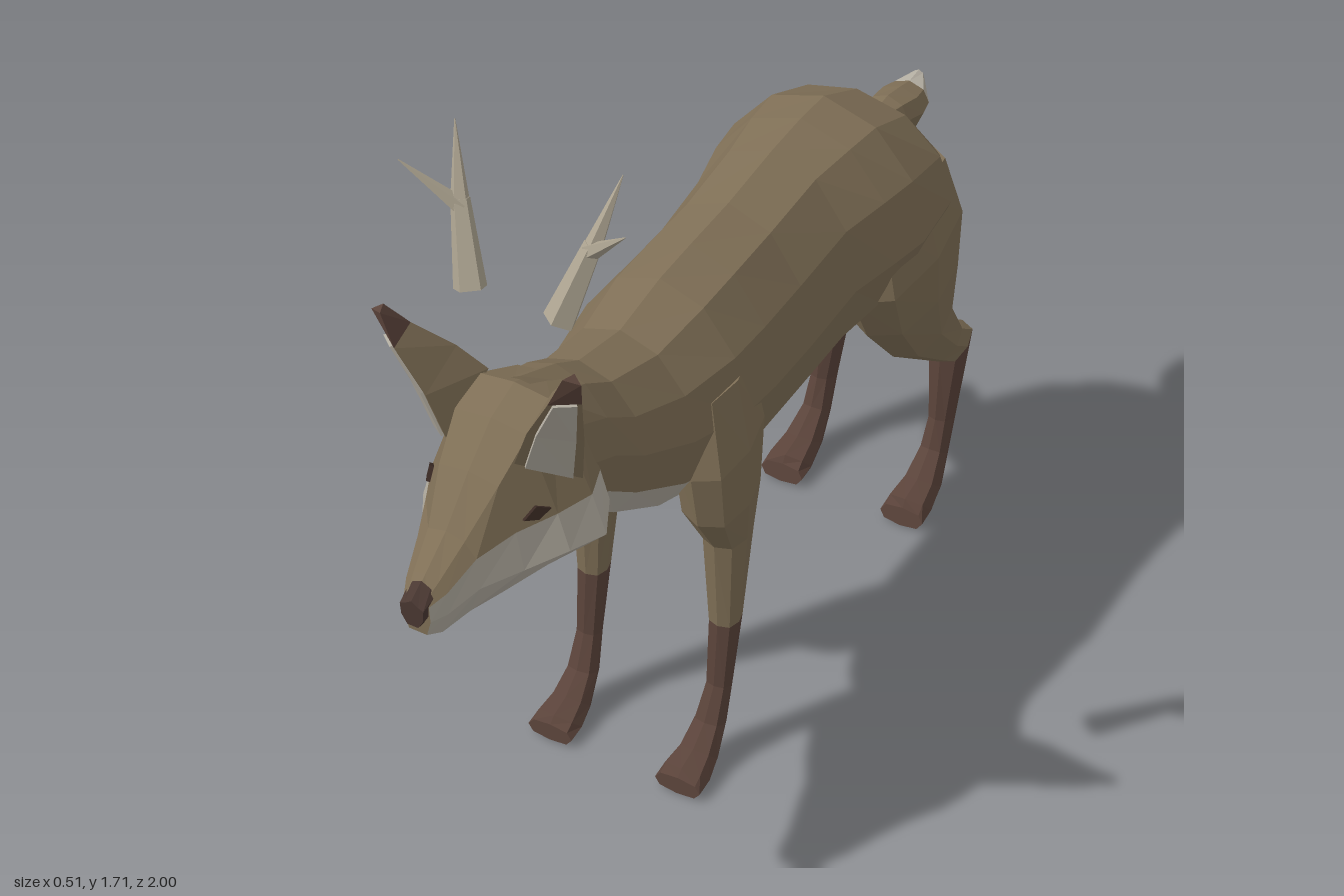
import * as THREE from 'three';

const mat = (name, color) => Object.assign(new THREE.MeshStandardMaterial({ color, flatShading: true }), { name });
const V = (x, y, z) => new THREE.Vector3(x, y, z);

export function createModel() {
  const root = new THREE.Group();
  root.name = 'antleredFox';
  const fur = mat('brownFur', 0x7f6f56);
  const dark = mat('darkBrownFur', 0x5a433a);
  const pale = mat('paleFur', 0xb3ada1);
  const horn = mat('antlerHorn', 0xada491);
  const noseMat = mat('noseBrown', 0x4a3832);
  const eyeMat = mat('eyeDark', 0x3a2a24);

  // Closed skin over rings of points; paint(segment, column) picks the colour, column -1 is an end cap
  function loft(name, rings, paint) {
    const buckets = new Map();
    let volume = 0;
    const tri = (m, a, b, c) => {
      if (!buckets.has(m)) buckets.set(m, []);
      buckets.get(m).push([a, b, c]);
      volume += a.dot(b.clone().cross(c));
    };
    const n = rings[0].length, last = rings.length - 1;
    for (let i = 0; i < last; i++) {
      for (let j = 0; j < n; j++) {
        const k = (j + 1) % n, m = paint(i, j);
        tri(m, rings[i][j], rings[i][k], rings[i + 1][k]);
        tri(m, rings[i][j], rings[i + 1][k], rings[i + 1][j]);
      }
    }
    for (const [ring, seg, flip] of [[rings[0], 0, true], [rings[last], last - 1, false]]) {
      const mid = ring.reduce((s, p) => s.add(p), V(0, 0, 0)).divideScalar(n);
      ring.forEach((p, j) => {
        const q = ring[(j + 1) % n];
        flip ? tri(paint(seg, -1), mid, q, p) : tri(paint(seg, -1), mid, p, q);
      });
    }
    // Turn the faces outward whichever way the rings wind
    const geo = new THREE.BufferGeometry(), pos = [], mats = [];
    for (const [m, tris] of buckets) {
      geo.addGroup(pos.length / 3, tris.length * 3, mats.length);
      mats.push(m);
      for (const [a, b, c] of tris) for (const p of volume > 0 ? [a, b, c] : [a, c, b]) pos.push(p.x, p.y, p.z);
    }
    geo.setAttribute('position', new THREE.Float32BufferAttribute(pos, 3));
    geo.computeVertexNormals();
    const mesh = new THREE.Mesh(geo, mats);
    mesh.name = name;
    root.add(mesh);
  }

  // Egg-shaped ring across z: top, bottom, half width and height of the widest point
  const trunkRing = n => ([z, top, bot, w, mid]) => Array.from({ length: n }, (_, j) => {
    const a = j / n * Math.PI * 2, c = Math.cos(a);
    return V(w * Math.sin(a), mid + c * (c > 0 ? top - mid : mid - bot), z);
  });

  // Neck, trunk and rump with a pale underside
  loft('body', [
    [0.62, 1.25, 0.90, 0.10, 1.06],
    [0.50, 1.20, 0.84, 0.13, 1.03],
    [0.42, 1.155, 0.78, 0.145, 0.98],
    [0.27, 1.13, 0.69, 0.17, 0.92],
    [0.12, 1.16, 0.65, 0.20, 0.90],
    [0.00, 1.17, 0.645, 0.20, 0.89],
    [-0.15, 1.18, 0.65, 0.197, 0.89],
    [-0.33, 1.205, 0.665, 0.205, 0.92],
    [-0.45, 1.215, 0.70, 0.235, 0.93],
    [-0.55, 1.215, 0.74, 0.25, 0.93],
    [-0.70, 1.15, 0.77, 0.238, 0.94],
    [-0.78, 1.05, 0.80, 0.19, 0.94],
    [-0.815, 0.99, 0.84, 0.12, 0.93],
  ].map(trunkRing(12)), (i, j) => (j === -1 ? i > 5 : j >= 4 && j <= 7) ? pale : fur);

  // Short tail, pale below and at the tip
  loft('tail', [
    [-0.77, 1.04, 0.985, 0.025, 1.01],
    [-0.85, 1.05, 0.95, 0.052, 1.0],
    [-0.91, 1.04, 0.93, 0.06, 0.99],
    [-0.955, 1.03, 0.94, 0.05, 0.99],
    [-1.0, 1.035, 0.995, 0.015, 1.015],
  ].map(trunkRing(8)), (i, j) => i > 2 || (j >= 3 && j <= 4) ? pale : fur);

  // Head ring: crown, eye line, cheek and jaw
  const headRing = ([z, yTop, xTop, yEye, xEye, yCheek, xCheek, yJaw, xJaw]) => {
    const half = [[xTop, yTop - 0.01], [xEye, yEye], [xCheek, yCheek], [xJaw, yJaw]];
    return [V(0, yTop, z), ...half.map(([x, y]) => V(x, y, z)), V(0, yJaw, z),
      ...half.reverse().map(([x, y]) => V(-x, y, z))];
  };
  loft('head', [
    [0.54, 1.21, 0.06, 1.02, 0.12, 0.955, 0.14, 0.90, 0.07],
    [0.64, 1.25, 0.08, 1.05, 0.165, 0.965, 0.195, 0.875, 0.09],
    [0.72, 1.22, 0.08, 1.05, 0.14, 0.97, 0.165, 0.885, 0.085],
    [0.80, 1.15, 0.065, 1.045, 0.10, 0.96, 0.115, 0.885, 0.065],
    [0.88, 1.065, 0.04, 1.025, 0.065, 0.955, 0.07, 0.89, 0.045],
    [0.95, 1.015, 0.028, 0.985, 0.045, 0.935, 0.045, 0.885, 0.03],
    [0.985, 0.99, 0.02, 0.97, 0.028, 0.935, 0.03, 0.90, 0.02],
  ].map(headRing), (i, j) => j >= 2 && j <= 7 ? pale : fur);
  loft('nose', [
    [0.965, 1.008, 0.02, 0.985, 0.03, 0.95, 0.028, 0.925, 0.015],
    [1.0, 0.985, 0.015, 0.97, 0.026, 0.945, 0.024, 0.925, 0.012],
  ].map(headRing), () => noseMat);

  // Leg section: front point, back point, inner and outer x
  const legRing = s => ([zf, yf, zb, yb, xi, xo]) => Array.from({ length: 8 }, (_, j) => {
    const a = j * Math.PI / 4, box = v => Math.sign(v) * Math.abs(v) ** 0.75;
    const c = box(Math.cos(a)) / 2;
    return V(s * ((xi + xo) / 2 + (xo - xi) / 2 * box(Math.sin(a))),
      (yf + yb) / 2 + (yf - yb) * c, (zf + zb) / 2 + (zf - zb) * c);
  });
  const frontLeg = [
    [0.23, 0.97, 0.03, 1.0, 0.06, 0.185],
    [0.255, 0.80, 0.03, 0.86, 0.08, 0.222],
    [0.235, 0.67, 0.045, 0.70, 0.09, 0.22],
    [0.177, 0.574, 0.06, 0.574, 0.115, 0.205],
    [0.166, 0.35, 0.095, 0.35, 0.13, 0.195],
    [0.18, 0.19, 0.13, 0.18, 0.135, 0.19],
    [0.215, 0.11, 0.16, 0.09, 0.125, 0.195],
    [0.262, 0.07, 0.21, 0.02, 0.115, 0.205],
    [0.31, 0.055, 0.26, 0, 0.105, 0.215],
    [0.325, 0.04, 0.33, 0, 0.105, 0.215],
  ];
  const hindLeg = [
    [-0.42, 1.0, -0.78, 1.02, 0.04, 0.22],
    [-0.41, 0.82, -0.815, 0.88, 0.06, 0.257],
    [-0.48, 0.69, -0.82, 0.72, 0.075, 0.245],
    [-0.62, 0.54, -0.83, 0.58, 0.09, 0.222],
    [-0.80, 0.41, -0.92, 0.45, 0.105, 0.20],
    [-0.87, 0.36, -0.98, 0.41, 0.11, 0.197],
    [-0.855, 0.20, -0.93, 0.18, 0.13, 0.185],
    [-0.83, 0.13, -0.89, 0.09, 0.125, 0.19],
    [-0.77, 0.08, -0.84, 0.03, 0.115, 0.205],
    [-0.71, 0.065, -0.77, 0, 0.105, 0.215],
    [-0.70, 0.045, -0.69, 0, 0.105, 0.215],
  ];

  // Square-sided tapering spike
  function spike(name, a, b, ra, rb) {
    const dir = b.clone().sub(a);
    const mesh = new THREE.Mesh(new THREE.CylinderGeometry(rb, ra, dir.length(), 5), horn);
    mesh.position.copy(a).add(b).multiplyScalar(0.5);
    mesh.quaternion.setFromUnitVectors(V(0, 1, 0), dir.normalize());
    mesh.name = name;
    root.add(mesh);
  }

  for (const s of [1, -1]) {
    const side = s > 0 ? 'left' : 'right';
    loft(side + 'FrontLeg', frontLeg.map(legRing(s)), i => i > 3 ? dark : fur);
    loft(side + 'HindLeg', hindLeg.map(legRing(s)),
      (i, j) => i > 4 ? dark : i < 2 && j >= 4 && j <= 6 ? pale : fur);

    // Ear: inner, outer and back edges from base to dark tip
    const ear = [
      [[0.075, 1.17, 0.76], [0.165, 1.11, 0.67], [0.07, 1.24, 0.62]],
      [[0.11, 1.26, 0.768], [0.19, 1.23, 0.70], [0.115, 1.30, 0.655]],
      [[0.165, 1.355, 0.78], [0.213, 1.35, 0.74], [0.172, 1.37, 0.715]],
      [[0.195, 1.42, 0.775], [0.225, 1.41, 0.76], [0.205, 1.422, 0.75]],
    ].map(r => r.map(([x, y, z]) => V(s * x, y, z)));
    loft(side + 'Ear', ear, i => i > 1 ? dark : fur);
    // Pale lining plate just proud of the ear's open face
    const strip = ear.slice(0, 3).map(([p, q]) => [p.clone().lerp(q, 0.15), p.clone().lerp(q, 0.85)]);
    const out = V(s * 0.65, -0.2, 0.73).normalize();
    loft(side + 'EarLining', strip.map(([p, q]) => [
      p.clone().addScaledVector(out, -0.002), q.clone().addScaledVector(out, -0.002),
      q.clone().addScaledVector(out, 0.006), p.clone().addScaledVector(out, 0.006)]), () => pale);

    // Almond eye plate
    const almond = new THREE.Shape([[-0.03, -0.004], [0, -0.013], [0.03, 0], [0, 0.014]].map(p => new THREE.Vector2(...p)));
    const eye = new THREE.Mesh(new THREE.ExtrudeGeometry(almond, { depth: 0.008, bevelEnabled: false }), eyeMat);
    eye.position.set(s * 0.115, 1.068, 0.755);
    eye.lookAt(eye.position.clone().add(V(s, 0.33, 0.5)));
    eye.name = side + 'Eye';
    root.add(eye);

    // Forked antler
    const fork = V(s * 0.143, 1.575, 0.58);
    spike(side + 'AntlerBeam', V(s * 0.097, 1.42, 0.628), fork, 0.033, 0.019);
    spike(side + 'AntlerTip', V(s * 0.14, 1.56, 0.585), V(s * 0.178, 1.71, 0.535), 0.02, 0.001);
    spike(side + 'AntlerTine', V(s * 0.138, 1.56, 0.585), V(s * 0.24, 1.655, 0.63), 0.018, 0.001);
  }
  return root;
}
